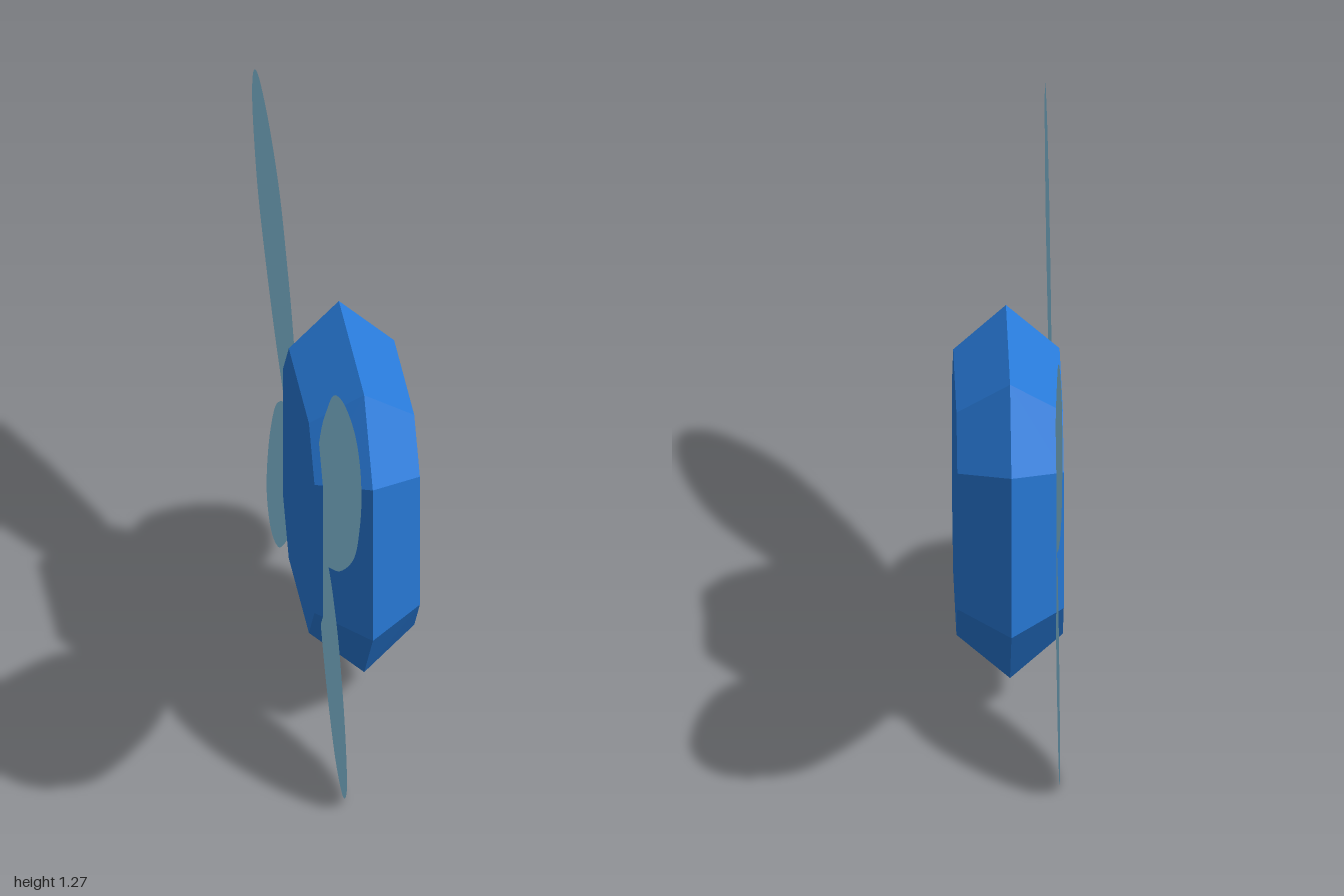
import * as THREE from 'three';
import { ConvexGeometry } from 'three/addons/geometries/ConvexGeometry.js';

const gemMaterial = new THREE.MeshStandardMaterial({ color: 0x287ad8, flatShading: true });
const wingMaterial = new THREE.MeshStandardMaterial({ color: 0x8ccbe8, side: THREE.DoubleSide });

// Octagon (a rectangle with cut corners) in the plane x, around the gem's centre
function octagon(x, halfZ, halfY, cutZ, cutY) {
  const points = [];
  for (const sz of [-1, 1]) {
    for (const sy of [-1, 1]) {
      points.push(new THREE.Vector3(x, sy * cutY, sz * halfZ));
      points.push(new THREE.Vector3(x, sy * halfY, sz * cutZ));
    }
  }
  return points;
}

// Cut gem: a wide girdle in the middle, a smaller flat table on each side
function createGem() {
  const geometry = new ConvexGeometry([
    ...octagon(0, 0.39, 0.4325, 0.232, 0.235),
    ...octagon(-0.14, 0.287, 0.3275, 0.184, 0.2),
    ...octagon(0.14, 0.287, 0.3275, 0.184, 0.2),
  ]);
  const gem = new THREE.Mesh(geometry, gemMaterial);
  gem.name = 'gem';
  gem.position.set(0, 0.5375, -0.008);
  return gem;
}

// Wing outlines as [z, y], from the hidden root out along the lower edge and back
const upperWing = [
  [0.2, 0.45], [0.4, 0.555], [0.625, 0.686], [0.866, 0.879], [0.965, 1.03], [1.0, 1.15],
  [0.968, 1.24], [0.866, 1.276], [0.678, 1.242], [0.496, 1.153], [0.362, 1.02], [0.265, 0.9], [0.15, 0.7],
];
const lowerWing = [
  [0.2, 0.57], [0.4, 0.553], [0.51, 0.495], [0.6, 0.41], [0.69, 0.26], [0.735, 0.11], [0.712, 0.035],
  [0.64, 0.003], [0.52, 0.035], [0.4, 0.123], [0.31, 0.214], [0.2, 0.36],
];

function createWing(name, outline, side) {
  const points = outline.map(([z, y]) => new THREE.Vector2(side * z, y));
  const shape = new THREE.Shape(new THREE.SplineCurve(points).getPoints(72));
  const geometry = new THREE.ShapeGeometry(shape).rotateY(-Math.PI / 2);
  const wing = new THREE.Mesh(geometry, wingMaterial);
  wing.name = name;
  wing.position.x = -0.12;
  return wing;
}

export function createModel() {
  const model = new THREE.Group();
  model.name = 'wingedGem';
  model.add(createGem());
  // One pair of wings towards the front, one towards the back
  for (const [label, side] of [['front', 1], ['back', -1]]) {
    model.add(createWing(label + 'UpperWing', upperWing, side));
    model.add(createWing(label + 'LowerWing', lowerWing, side));
  }
  return model;
}
